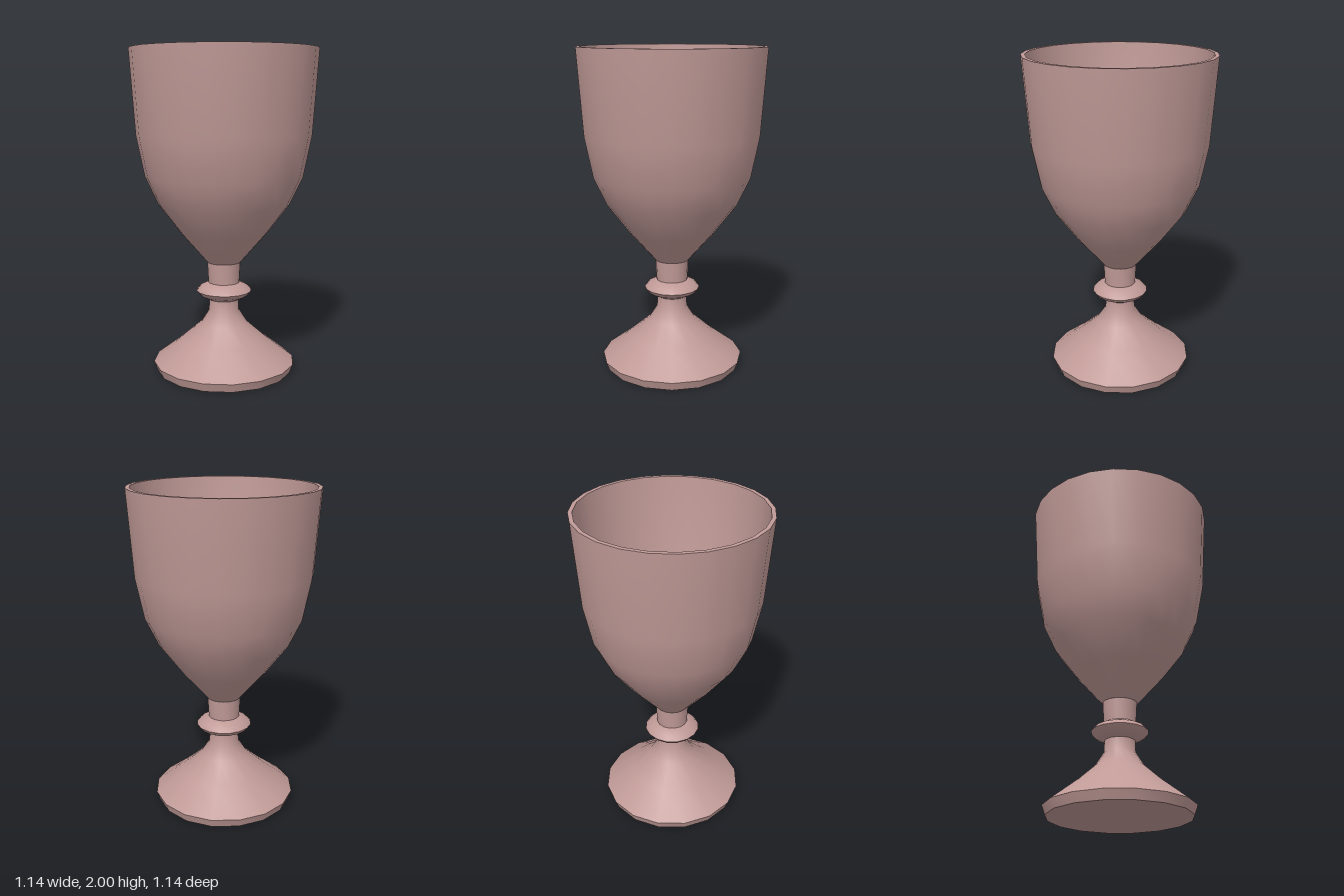
import * as THREE from 'three';
import { toCreasedNormals } from 'three/addons/utils/BufferGeometryUtils.js';

const material = new THREE.MeshStandardMaterial({ color: 0xc09a97 });

// Revolve a profile of [radius, height] pairs, keeping sharp edges crisp
function turned(name, profile, sides) {
  const points = profile.map(([r, y]) => new THREE.Vector2(r, y));
  const geometry = toCreasedNormals(new THREE.LatheGeometry(points, sides), 0.75);
  const mesh = new THREE.Mesh(geometry, material);
  mesh.name = name;
  return mesh;
}

export function createModel() {
  const goblet = new THREE.Group();
  goblet.name = 'goblet';

  // Flared foot with a bevelled lip, rising into the lower neck
  goblet.add(turned('foot', [
    [0, 0], [0.425, 0], [0.445, 0.055], [0.27, 0.19],
    [0.145, 0.3], [0.095, 0.38], [0.092, 0.46],
  ], 16));

  // Ring around the stem
  goblet.add(turned('knop', [
    [0, 0.452], [0.095, 0.452], [0.15, 0.48], [0.173, 0.508],
    [0.15, 0.535], [0.098, 0.56], [0, 0.56],
  ], 16));

  // Short collar below the bowl
  goblet.add(turned('stem', [[0.097, 0.55], [0.105, 0.695]], 16));

  // Hollow bowl: outer wall, flat rim, then the inner wall down to the centre
  goblet.add(turned('bowl', [
    [0, 0.69], [0.105, 0.69], [0.27, 0.88], [0.405, 1.06], [0.485, 1.23],
    [0.535, 1.48], [0.571, 2], [0.546, 2], [0.511, 1.485], [0.463, 1.24],
    [0.387, 1.075], [0.252, 0.9], [0.095, 0.73], [0, 0.715],
  ], 24));

  return goblet;
}
